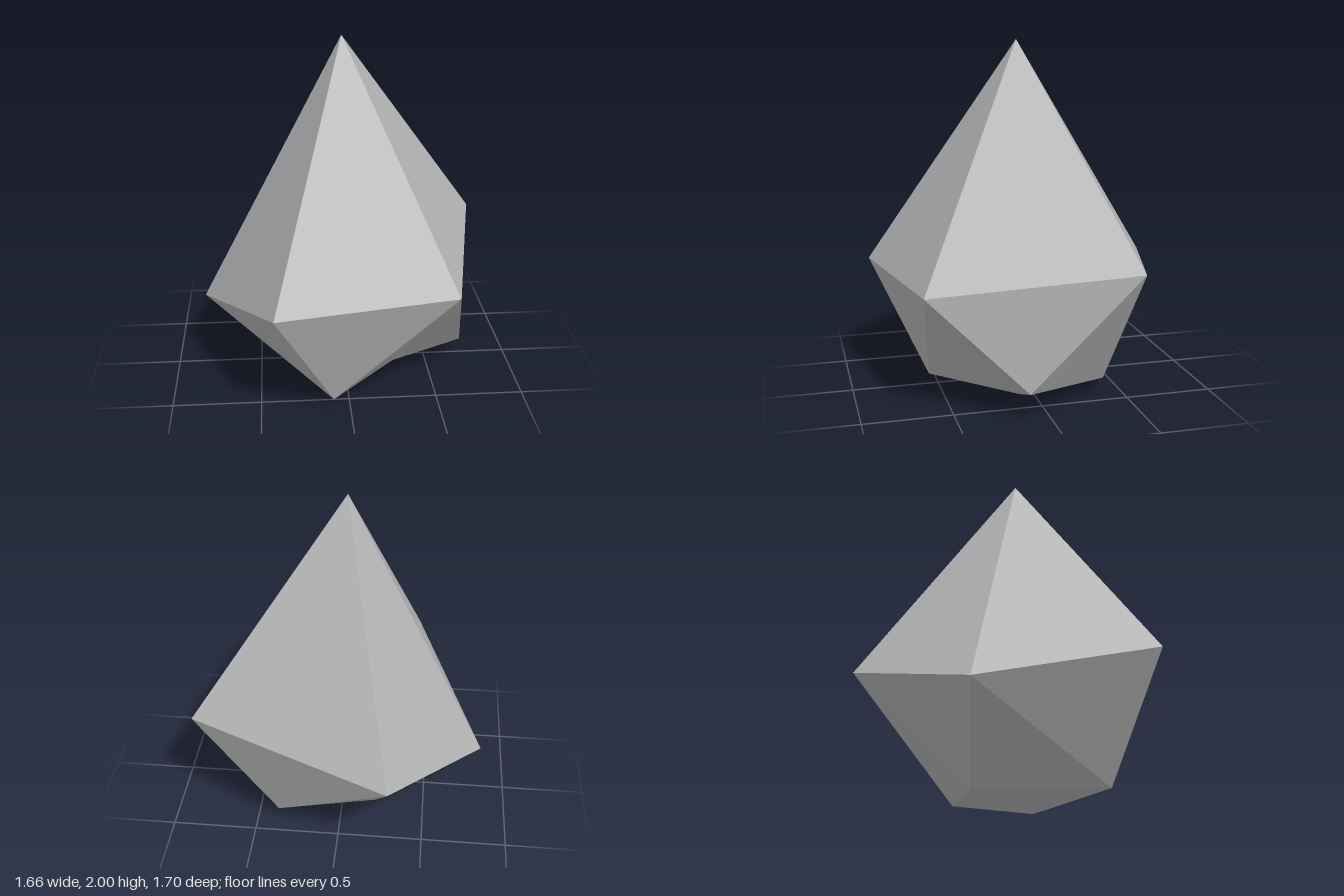
import * as THREE from 'three';

export function createModel() {
  const group = new THREE.Group();
  group.name = 'rock';

  const stone = new THREE.MeshStandardMaterial({ color: 0xb4b4b4, flatShading: true });
  stone.name = 'grey stone';

  // Corners: peak, shoulder ring (counterclockwise from above), then foot
  const peak = [-0.01, 2, 0.02];
  const shoulder = [
    [-0.42, 0.68, 0.845],
    [0.59, 0.69, 0.665],
    [0.83, 0.805, -0.47],
    [-0.30, 0.67, -0.85],
    [-0.83, 0.40, -0.10],
  ];
  const [front, left, back, right, heel] = [
    [-0.09, 0.025, 0.54],
    [0.70, 0.155, 0.12],
    [0.37, 0.08, -0.40],
    [-0.20, 0.01, -0.20],
    [0.30, 0, 0.08],
  ];
  const [A, B, C, D, E] = shoulder;

  // Builds one faceted shell from outward-facing triangles
  function facets(name, triangles) {
    const geometry = new THREE.BufferGeometry();
    geometry.setAttribute('position', new THREE.Float32BufferAttribute(triangles.flat(2), 3));
    geometry.computeVertexNormals();
    const mesh = new THREE.Mesh(geometry, stone);
    mesh.name = name;
    group.add(mesh);
  }

  // Tall five-sided peak
  facets('peak', shoulder.map((p, i) => [peak, p, shoulder[(i + 1) % 5]]));

  // Tapering sides below the shoulder
  facets('sides', [
    [A, front, B],
    [B, front, heel], [B, heel, left], [B, left, C],
    [C, left, back], [C, back, D],
    [D, back, right], [D, right, E],
    [E, right, front], [E, front, A],
  ]);

  // Nearly flat underside
  facets('underside', [
    [heel, front, right],
    [heel, right, back],
    [back, left, heel],
  ]);

  return group;
}
